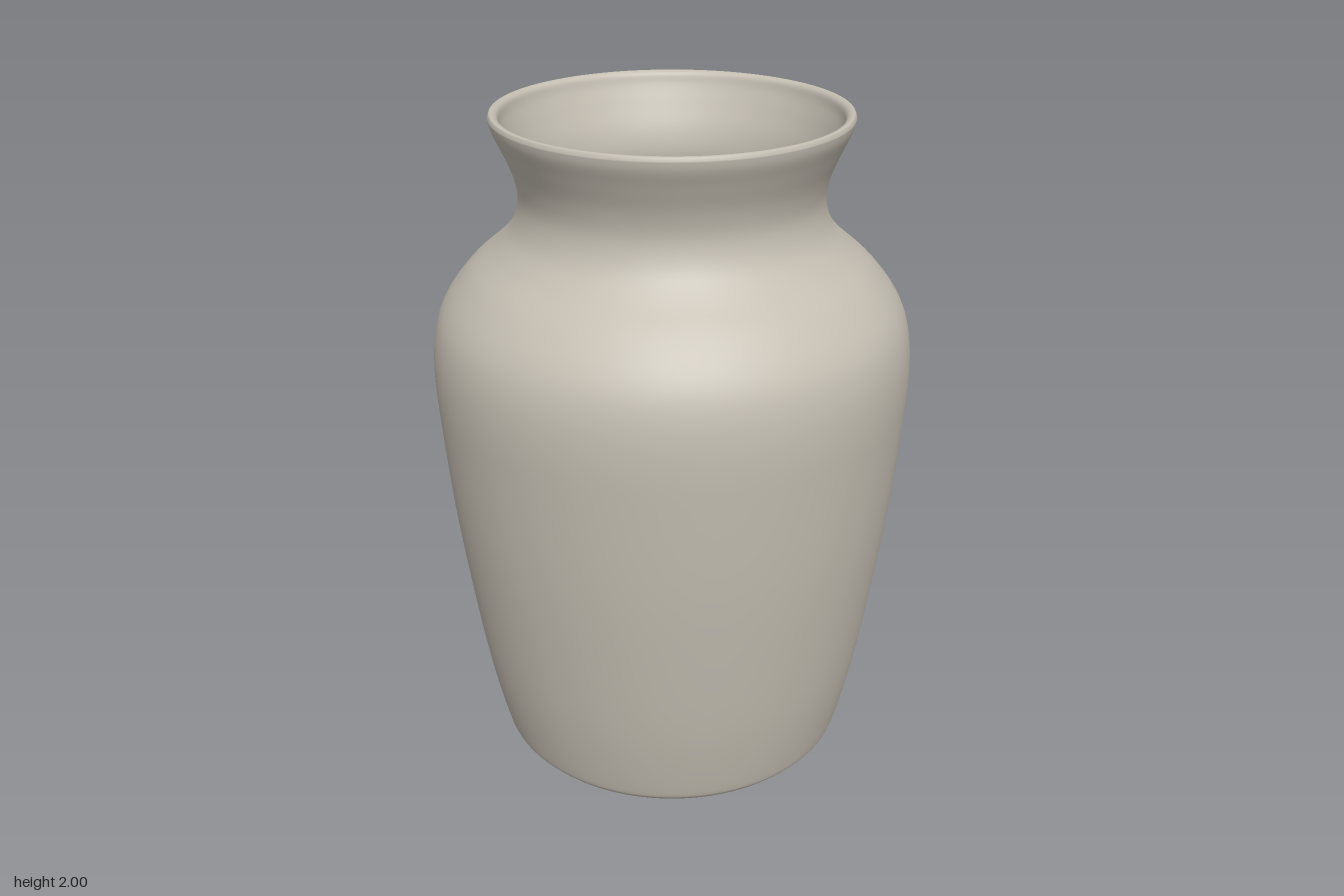
import * as THREE from 'three';

// Smooth curve through [radius, height] pairs
function curve(pairs, steps) {
  return new THREE.SplineCurve(pairs.map(([r, y]) => new THREE.Vector2(r, y))).getPoints(steps);
}

export function createModel() {
  const group = new THREE.Group();
  group.name = 'vase';

  const clay = new THREE.MeshStandardMaterial({ color: 0xc4beb2 });
  clay.name = 'warm grey clay';

  // Underside with a shallow recess, rounded foot, tapering body, shoulder, neck and flared rim
  const outer = curve([
    [0, 0.02], [0.2, 0.02], [0.34, 0.018], [0.4, 0.004], [0.45, 0], [0.5, 0.005], [0.535, 0.025],
    [0.555, 0.075], [0.6, 0.29], [0.64, 0.56], [0.672, 0.82], [0.694, 1.08], [0.703, 1.25],
    [0.693, 1.37], [0.66, 1.46], [0.59, 1.55], [0.51, 1.62], [0.459, 1.68], [0.437, 1.755],
    [0.448, 1.83], [0.478, 1.905], [0.503, 1.96], [0.51, 1.99],
  ], 110);

  // Lip rolling inwards, then the inner wall down to the floor
  const inner = curve([
    [0.506, 1.999], [0.495, 2], [0.482, 1.99], [0.473, 1.96], [0.45, 1.905], [0.421, 1.83],
    [0.411, 1.755], [0.431, 1.68], [0.482, 1.61], [0.565, 1.53], [0.63, 1.45], [0.662, 1.36],
    [0.673, 1.25], [0.664, 1.08], [0.642, 0.82], [0.61, 0.56], [0.57, 0.29], [0.528, 0.1],
    [0.49, 0.055], [0.43, 0.045], [0.2, 0.045], [0, 0.045],
  ], 100);

  const profile = [...outer, ...inner];
  profile.forEach((p) => { p.x = Math.max(p.x, 0); });

  const body = new THREE.Mesh(new THREE.LatheGeometry(profile, 96), clay);
  body.name = 'vaseBody';
  group.add(body);
  return group;
}
